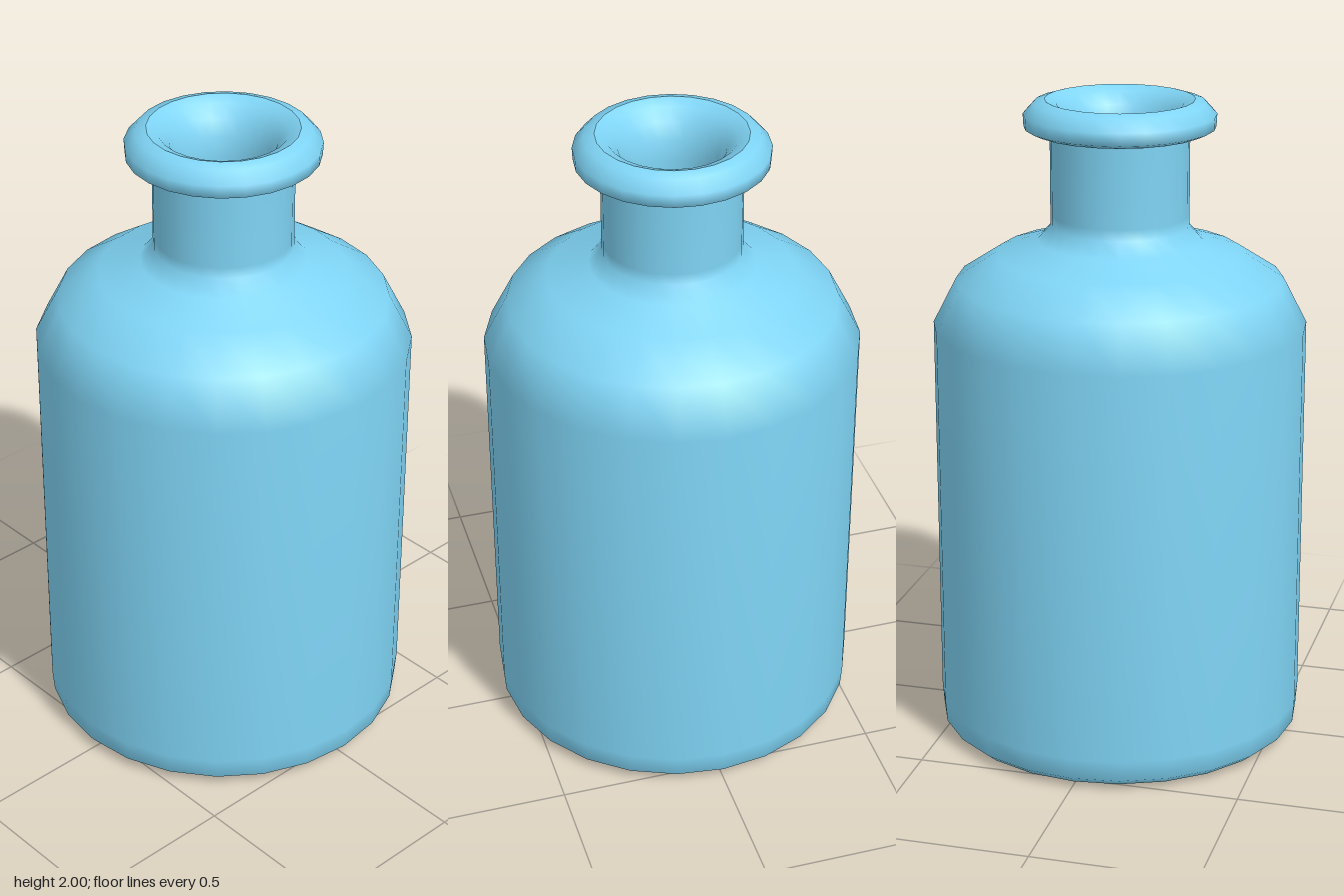
import * as THREE from 'three';

const SIDES = 24;

// Revolve a list of [radius, height] pairs around the y axis
function revolve(name, profile, material) {
  const points = profile.map(([r, y]) => new THREE.Vector2(r, y));
  const mesh = new THREE.Mesh(new THREE.LatheGeometry(points, SIDES), material);
  mesh.name = name;
  return mesh;
}

export function createModel() {
  const glass = new THREE.MeshStandardMaterial({ color: 0x7fd4f5, side: THREE.DoubleSide });
  const bottle = new THREE.Group();
  bottle.name = 'bottle';

  // Outside: base, rounded foot, straight body, shoulder, neck, flared lip
  const outside = [
    [0, 0], [0.48, 0.005], [0.535, 0.01], [0.565, 0.035], [0.57, 0.1],
    [0.57, 1.31], [0.498, 1.45], [0.375, 1.53], [0.25, 1.57],
    [0.21, 1.615], [0.21, 1.65], [0.21, 1.89], [0.215, 1.905], [0.262, 1.905],
    [0.288, 1.917], [0.29, 1.955], [0.258, 1.99], [0.225, 2],
  ];

  // Inside: rounded mouth, bore, hollow body and floor
  const inside = [
    [0.225, 2], [0.19, 1.985], [0.158, 1.95], [0.138, 1.9], [0.127, 1.84],
    [0.127, 1.6], [0.2, 1.51], [0.34, 1.46], [0.45, 1.39], [0.51, 1.28],
    [0.51, 0.1], [0.48, 0.065], [0.42, 0.06], [0, 0.06],
  ];

  bottle.add(revolve('outerWall', outside, glass), revolve('innerWall', inside, glass));
  return bottle;
}
